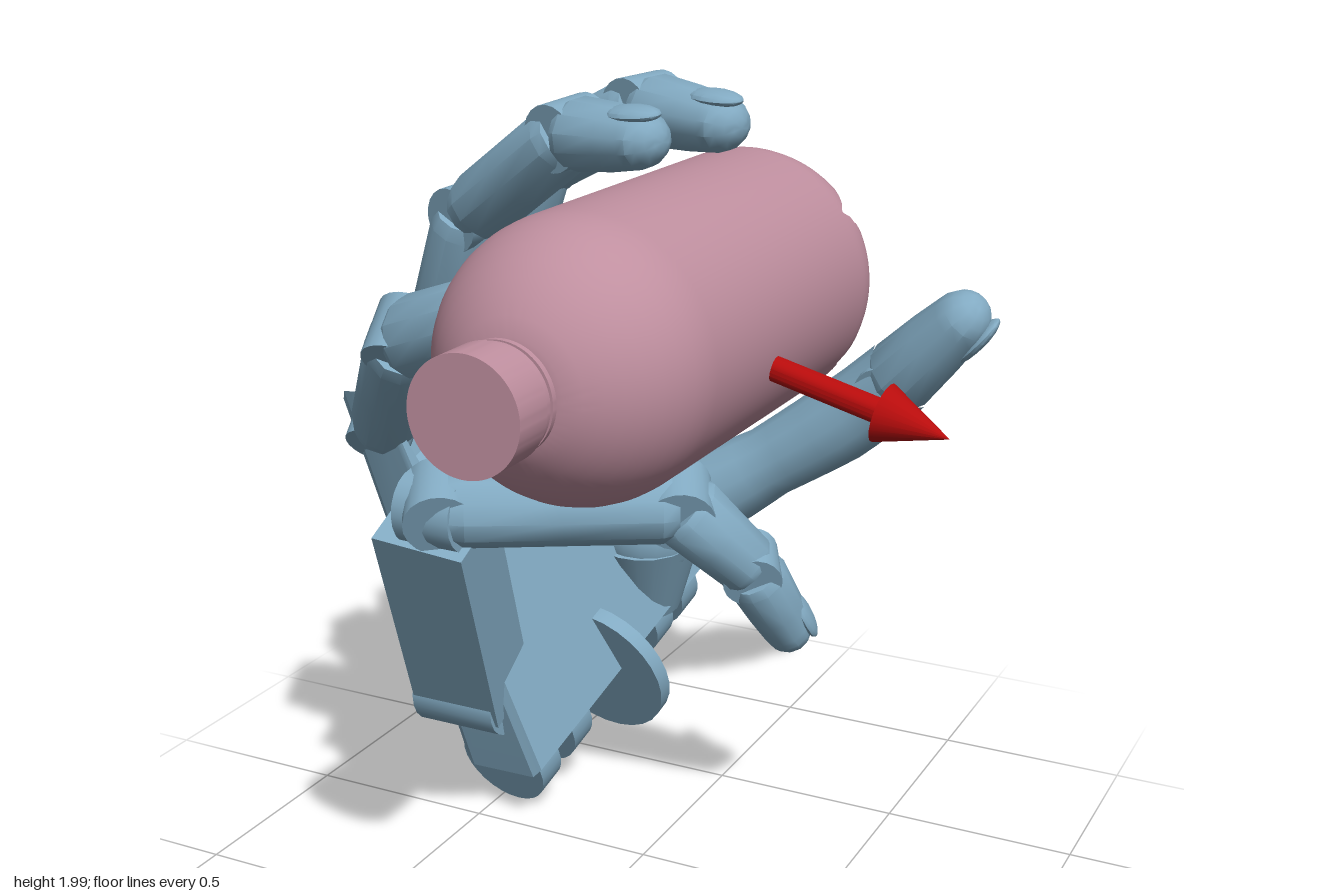
import * as THREE from 'three';
import { toCreasedNormals } from 'three/addons/utils/BufferGeometryUtils.js';

const V = (a) => new THREE.Vector3(...a);
const skin = new THREE.MeshStandardMaterial({ color: 0x82aac2 });
const pink = new THREE.MeshStandardMaterial({ color: 0xbf8f9f });
const red = new THREE.MeshStandardMaterial({ color: 0xb80c0c });

function add(parent, name, geo, mat, crease = 0.6) {
  const mesh = new THREE.Mesh(toCreasedNormals(geo, crease), mat);
  mesh.name = name;
  parent.add(mesh);
  return mesh;
}

// Turn a mesh so local x = hinge, y = direction, -z = back of the finger
function orient(mesh, pos, dir, hinge) {
  const y = dir.clone().normalize();
  const x = hinge.clone().addScaledVector(y, -hinge.dot(y)).normalize();
  const z = x.clone().cross(y);
  mesh.quaternion.setFromRotationMatrix(new THREE.Matrix4().makeBasis(x, y, z));
  mesh.position.copy(pos);
  return mesh;
}

function lathe(points, sides) {
  return new THREE.LatheGeometry(points.map((p) => new THREE.Vector2(...p)), sides);
}

// Cylinder whose axis runs from a to b
function rod(parent, name, a, b, ra, rb, mat, sides = 20) {
  const d = b.clone().sub(a);
  const mesh = add(parent, name, new THREE.CylinderGeometry(rb, ra, d.length(), sides), mat);
  mesh.quaternion.setFromUnitVectors(new THREE.Vector3(0, 1, 0), d.normalize());
  mesh.position.copy(a).add(b).multiplyScalar(0.5);
  return mesh;
}

// One finger bone; the last one has a round tip and a nail
function phalanx(parent, a, b, ra, rb, hinge, isTip) {
  const d = b.clone().sub(a), L = d.length();
  const profile = [[0, 0], [ra * 0.9, 0.005], [ra, L * 0.1], [(ra + rb) / 2, L * 0.5]];
  if (isTip) {
    for (let i = 0; i <= 5; i++) {
      const t = (i / 5) * Math.PI / 2;
      profile.push([rb * Math.cos(t), L - rb * (1 - Math.sin(t))]);
    }
  } else profile.push([rb, L * 0.93], [rb * 0.9, L], [0, L]);
  const geo = lathe(profile, 12);
  geo.rotateY(Math.PI / 12);
  geo.scale(1, 1, 0.88);
  orient(add(parent, isTip ? 'fingertip' : 'phalanx', geo, skin, 0.6), a, d, hinge);
  if (isTip) {
    const nail = new THREE.SphereGeometry(1, 14, 8);
    nail.scale(rb * 0.65, rb, rb * 0.25);
    nail.translate(0, L - rb * 1.1, -rb * 0.75);
    orient(add(parent, 'nail', nail, skin), a, d, hinge);
  }
}

function finger(parent, name, pts, radii) {
  const g = new THREE.Group();
  g.name = name;
  parent.add(g);
  const p = pts.map(V), n = p.length - 1;
  const hinge = p[1].clone().sub(p[0]).cross(p[n].clone().sub(p[n - 1])).normalize();
  for (let i = 0; i < n; i++) {
    const d = p[i + 1].clone().sub(p[i]);
    // Small gap at each joint, bridged by a hinge barrel
    const start = p[i].clone().addScaledVector(d, i ? 0.04 : 0);
    phalanx(g, start, p[i + 1], radii[i], radii[i + 1], hinge, i === n - 1);
    const h = hinge.clone().multiplyScalar(radii[i] * 0.7), r = radii[i] * 0.82;
    rod(g, 'joint', p[i].clone().sub(h), p[i].clone().add(h), r, r, skin);
  }
}

function buildBottle(parent) {
  const profile = [[0, -0.53], [0.05, -0.545], [0.1, -0.56], [0.15, -0.58], [0.2, -0.6], [0.23, -0.6], [0.26, -0.6],
    [0.285, -0.59], [0.305, -0.57], [0.32, -0.54], [0.328, -0.51], [0.33, -0.48], [0.33, -0.46]];
  for (let i = 0; i <= 9; i++) {
    const t = (i / 9) * 1.2;
    profile.push([0.33 * Math.cos(t), 0.4 + 0.33 * Math.sin(t)]);
  }
  profile.push([0.1, 0.71], [0.1, 0.74], [0.125, 0.74], [0.125, 0.755], [0.1, 0.755], [0.1, 0.765],
    [0.125, 0.765], [0.125, 0.78], [0.1, 0.78], [0.1, 0.79], [0.132, 0.79], [0.132, 0.9], [0, 0.9]);
  const geo = lathe(profile, 100);
  geo.rotateX(Math.PI / 2);
  // Five V-shaped notches in the base, narrowing towards its middle
  const pos = geo.attributes.position, step = Math.PI * 0.4;
  for (let i = 0; i < pos.count; i++) {
    const a = Math.atan2(pos.getY(i), pos.getX(i)) - Math.PI / 5;
    const r = Math.hypot(pos.getX(i), pos.getY(i));
    const side = r * Math.abs(Math.sin(a - Math.round(a / step) * step));
    const depth = Math.max(0, 1 - side / (0.02 + 0.2 * r));
    pos.setZ(i, Math.max(pos.getZ(i), -0.6 + depth * (0.07 + 0.18 * r)));
  }
  geo.computeVertexNormals();
  add(parent, 'bottle', geo, pink, 0.5).position.set(0.05, 1.44, 0);
}

function buildPalm(parent) {
  // Corners of the back of the hand and the inward offset at each
  const wristOuter = V([-0.57, 0.1, -0.06]), wristThumb = V([-0.47, 0.43, -0.88]);
  const topOuter = V([-0.8, 1.18, 0.12]), topThumb = V([-0.73, 1.4, -0.49]);
  const inward = V([0.96, 0.15, 0.23]);
  const at = (s, t, d) => wristOuter.clone().lerp(wristThumb, s)
    .lerp(topOuter.clone().lerp(topThumb, s), t)
    .addScaledVector(inward, d * (0.28 - 0.13 * t));

  // Outline with a pointed prong on each side of every finger
  const outline = [[0, 0], [1, 0], [1, 0.5], [1, 1], [0.94, 0.82], [0.74, 0.82], [0.67, 0.99], [0.6, 0.82],
    [0.4, 0.82], [0.33, 0.99], [0.26, 0.82], [0.06, 0.82], [0, 1], [0, 0.5]];
  const geo = new THREE.ExtrudeGeometry(new THREE.Shape(outline.map((p) => new THREE.Vector2(...p))),
    { depth: 0.8, bevelThickness: 0.1, bevelSize: 0.015, bevelOffset: -0.015, bevelSegments: 1 });
  geo.translate(0, 0, 0.1);
  const pos = geo.attributes.position;
  for (let i = 0; i < pos.count; i++) {
    const p = at(pos.getX(i), pos.getY(i), pos.getZ(i));
    pos.setXYZ(i, p.x, p.y, p.z);
  }
  geo.computeVertexNormals();
  add(parent, 'palm', geo, skin, 0.4);

  // Hinge lugs and the tendon disc along the wrist
  const across = wristThumb.clone().sub(wristOuter).normalize();
  const disc = (name, s, t, d, r, w) => {
    const c = at(s, t, d), h = across.clone().multiplyScalar(w / 2);
    rod(parent, name, c.clone().sub(h), c.clone().add(h), r, r, skin, 28);
  };
  for (const s of [0.1, 0.28, 0.78, 0.94]) disc('wristLug', s, -0.02, 0.34, 0.13, 0.09);
  disc('wristDisc', 0.5, 0, 0.65, 0.21, 0.045);
  disc('wristAxle', 0.5, 0.01, 0.4, 0.07, 0.75);

  // Separate plate that carries the little finger
  const plate = add(parent, 'littleFingerPlate', new THREE.BoxGeometry(0.25, 0.64, 0.19), skin);
  const dir = V([0.08, 0.63, 0.3]);
  orient(plate, V([-0.49, 0.63, 0.105]), dir, V([1, 0, 0]));
  for (const [name, p, r, w] of [['plateHinge', [-0.53, 0.34, -0.02], 0.095, 0.12], ['plateKnuckle', [-0.43, 0.96, 0.25], 0.095, 0.08]]) {
    rod(parent, name, V(p).add(V([-w, 0, 0])), V(p).add(V([w, 0, 0])), r, r, skin);
  }
}

function buildThumb(parent) {
  const g = new THREE.Group();
  g.name = 'thumb';
  parent.add(g);
  // Socket mound, leaning with the palm
  rod(g, 'thumbMound', V([-0.33, 0.4, -0.68]), V([-0.31, 0.64, -0.63]), 0.1, 0.165, skin);
  const ball = add(g, 'thumbBall', new THREE.SphereGeometry(0.155, 20, 14), skin);
  ball.position.set(-0.3, 0.65, -0.63);
  // Tapering bone: a tube whose rings are scaled along its length
  const curve = new THREE.CatmullRomCurve3([[-0.34, 0.64, -0.62], [-0.12, 0.77, -0.67], [0.08, 0.9, -0.71],
    [0.26, 1.03, -0.74], [0.39, 1.15, -0.745]].map(V));
  const radii = [0.15, 0.125, 0.1, 0.112, 0.105];
  const rings = 16, sides = 12;
  const geo = new THREE.TubeGeometry(curve, rings, 1, sides);
  const pos = geo.attributes.position, v = new THREE.Vector3();
  for (let i = 0; i < pos.count; i++) {
    const t = Math.floor(i / (sides + 1)) / rings;
    const k = Math.min(3, Math.floor(t * 4));
    const r = THREE.MathUtils.lerp(radii[k], radii[k + 1], t * 4 - k);
    const c = curve.getPointAt(t);
    v.fromBufferAttribute(pos, i).sub(c).multiplyScalar(r).add(c);
    pos.setXYZ(i, v.x, v.y, v.z);
  }
  geo.computeVertexNormals();
  add(g, 'thumbBone', geo, skin, 0.7);
  const a = V([0.37, 1.13, -0.745]), b = V([0.62, 1.39, -0.69]);
  const hinge = V([0.7, -0.6, -0.2]).cross(b.clone().sub(a)).normalize();
  const h = hinge.clone().multiplyScalar(0.08);
  rod(g, 'thumbJoint', a.clone().sub(h), a.clone().add(h), 0.085, 0.085, skin);
  phalanx(g, a, b, 0.115, 0.09, hinge, true);
}

export function createModel() {
  const model = new THREE.Group();
  model.name = 'handHoldingBottle';
  buildBottle(model);

  const hand = new THREE.Group();
  hand.name = 'hand';
  model.add(hand);
  buildPalm(hand);
  buildThumb(hand);
  finger(hand, 'indexFinger', [[-0.66, 1.24, -0.39], [-0.45, 1.72, -0.29], [-0.09, 1.9, -0.19], [0.21, 1.885, -0.09]],
    [0.1, 0.1, 0.098, 0.078]);
  finger(hand, 'middleFinger', [[-0.7, 1.17, -0.16], [-0.5, 1.63, -0.05], [-0.16, 1.87, 0.06], [0.12, 1.88, 0.14]],
    [0.1, 0.1, 0.098, 0.078]);
  finger(hand, 'ringFinger', [[-0.71, 1.09, 0.06], [-0.45, 1.41, 0.34], [-0.19, 1.51, 0.42], [0.02, 1.47, 0.36]],
    [0.1, 0.105, 0.1, 0.08]);
  finger(hand, 'littleFinger', [[-0.42, 0.975, 0.26], [0.08, 0.97, -0.03], [0.23, 0.79, -0.14], [0.3, 0.54, -0.29]],
    [0.112, 0.108, 0.09, 0.075]);

  // Arrow pointing out of the bottle's side
  const arrow = new THREE.Group();
  arrow.name = 'arrow';
  model.add(arrow);
  const root = V([0.1, 1.44, 0.06]), neck = V([0.64, 1.308, 0.084]), tip = V([0.8, 1.27, 0.09]);
  rod(arrow, 'arrowShaft', root, neck, 0.03, 0.03, red);
  rod(arrow, 'arrowHead', neck, tip, 0.07, 0, red);
  return model;
}
